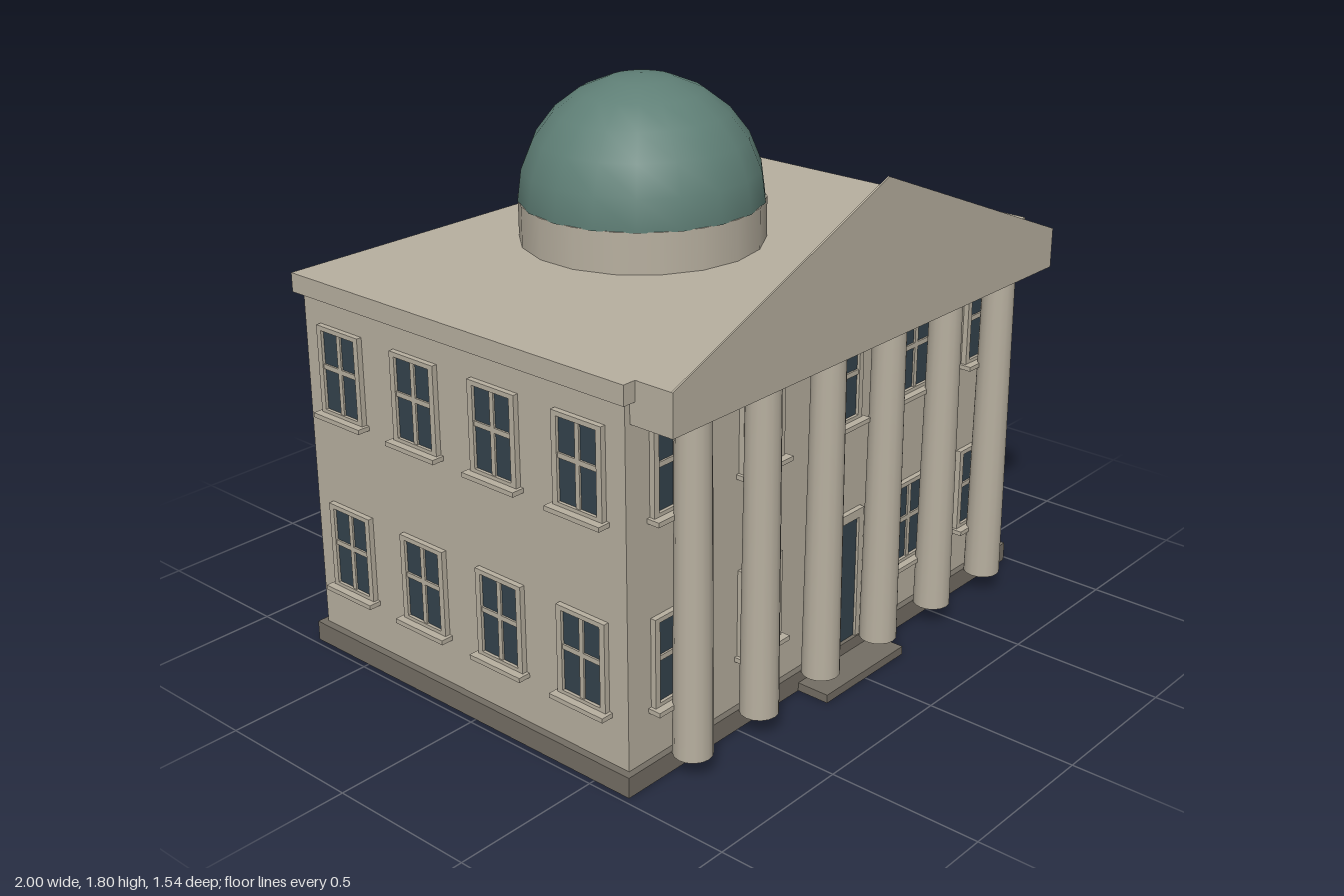
import * as THREE from 'three';

export function createModel() {
  const model = new THREE.Group();
  model.name = 'domedHall';

  const mat = (name, color) => {
    const m = new THREE.MeshStandardMaterial({ color });
    m.name = name;
    return m;
  };
  const stone = mat('stone', 0xb8b0a0);
  const plinthStone = mat('dark plinth stone', 0x746e64);
  const glass = mat('dark glass', 0x34434d);
  const copper = mat('aged copper', 0x5f7f76);

  const add = (parent, name, geometry, material, x = 0, y = 0, z = 0) => {
    const mesh = new THREE.Mesh(geometry, material);
    mesh.name = name;
    mesh.position.set(x, y, z);
    parent.add(mesh);
    return mesh;
  };
  // Box given by its min and max on each axis
  const block = (parent, name, material, x0, x1, y0, y1, z0, z1) =>
    add(parent, name, new THREE.BoxGeometry(x1 - x0, y1 - y0, z1 - z0), material,
      (x0 + x1) / 2, (y0 + y1) / 2, (z0 + z1) / 2);

  // Main building
  const wallX = 0.955, wallFront = 0.615, wallBack = -0.725;
  const midZ = (wallFront + wallBack) / 2;
  block(model, 'plinth', plinthStone, -0.98, 0.98, 0, 0.067, -0.747, 0.637);
  block(model, 'walls', stone, -wallX, wallX, 0.067, 1.21, wallBack, wallFront);
  block(model, 'roofCornice', stone, -0.98, 0.98, 1.21, 1.272, -0.747, 0.635);
  block(model, 'frontStep', plinthStone, -0.2, 0.2, 0, 0.028, 0.637, 0.75);

  // Portico: columns, entablature and a flat gable
  const portico = new THREE.Group();
  portico.name = 'portico';
  model.add(portico);
  const columnGeo = new THREE.CylinderGeometry(0.053, 0.061, 1.073, 16);
  for (let i = 0; i < 6; i++) {
    add(portico, 'column', columnGeo, stone, (i - 2.5) * 0.303, 0.6035, 0.685);
  }
  block(portico, 'entablature', stone, -0.935, 0.935, 1.14, 1.272, 0.605, 0.768);
  const gable = new THREE.Shape();
  gable.moveTo(-0.935, 0);
  gable.lineTo(0.935, 0);
  gable.lineTo(0, 0.378);
  gable.closePath();
  add(portico, 'pediment', new THREE.ExtrudeGeometry(gable, { depth: 0.006, bevelEnabled: false }),
    stone, 0, 1.272, 0.762);

  // Drum and dome
  add(model, 'drum', new THREE.CylinderGeometry(0.4, 0.4, 0.135, 18), stone, 0, 1.3395, -0.19);
  add(model, 'dome', new THREE.SphereGeometry(0.4, 18, 6, 0, Math.PI * 2, 0, Math.PI / 2),
    copper, 0, 1.405, -0.19);

  // Rectangular surround with a hole, facing +z
  const rect = (path, x0, x1, y0, y1) => {
    path.moveTo(x0, y0);
    path.lineTo(x1, y0);
    path.lineTo(x1, y1);
    path.lineTo(x0, y1);
    path.closePath();
    return path;
  };
  const frameShape = rect(new THREE.Shape(), -0.095, 0.095, -0.145, 0.145);
  frameShape.holes.push(rect(new THREE.Path(), -0.075, 0.075, -0.13, 0.13));
  const frameGeo = new THREE.ExtrudeGeometry(frameShape, { depth: 0.018, bevelEnabled: false });
  const paneGeo = new THREE.BoxGeometry(0.15, 0.26, 0.008);
  const uprightGeo = new THREE.BoxGeometry(0.016, 0.26, 0.014);
  const crossGeo = new THREE.BoxGeometry(0.15, 0.016, 0.014);
  const sillGeo = new THREE.BoxGeometry(0.212, 0.015, 0.043);

  const addWindow = (x, y, z, turn) => {
    const w = new THREE.Group();
    w.name = 'window';
    add(w, 'frame', frameGeo, stone);
    add(w, 'pane', paneGeo, glass, 0, 0, 0.004);
    add(w, 'uprightBar', uprightGeo, stone, 0, 0, 0.007);
    add(w, 'crossBar', crossGeo, stone, 0, 0.012, 0.007);
    add(w, 'sill', sillGeo, stone, 0, -0.149, 0.0215);
    w.position.set(x, y, z);
    w.rotation.y = turn;
    model.add(w);
  };

  // Two storeys of evenly spaced windows; the door takes the lower front centre
  for (const y of [0.378, 0.979]) {
    for (let i = 0; i < 5; i++) {
      const x = (i - 2) * 0.382;
      if (i !== 2 || y > 0.5) addWindow(x, y, wallFront, 0);
      addWindow(x, y, wallBack, Math.PI);
    }
    for (let i = 0; i < 4; i++) {
      const z = midZ + (i - 1.5) * 0.335;
      addWindow(wallX, y, z, Math.PI / 2);
      addWindow(-wallX, y, z, -Math.PI / 2);
    }
  }

  // Entrance door with its surround
  const door = new THREE.Group();
  door.name = 'entrance';
  model.add(door);
  block(door, 'doorLeaf', glass, -0.1, 0.1, 0.067, 0.49, wallFront, wallFront + 0.009);
  block(door, 'lintel', stone, -0.125, 0.125, 0.49, 0.52, wallFront, wallFront + 0.018);
  for (const s of [-1, 1]) {
    add(door, 'doorJamb', new THREE.BoxGeometry(0.025, 0.423, 0.018), stone,
      s * 0.1125, 0.2785, wallFront + 0.009);
  }

  return model;
}
